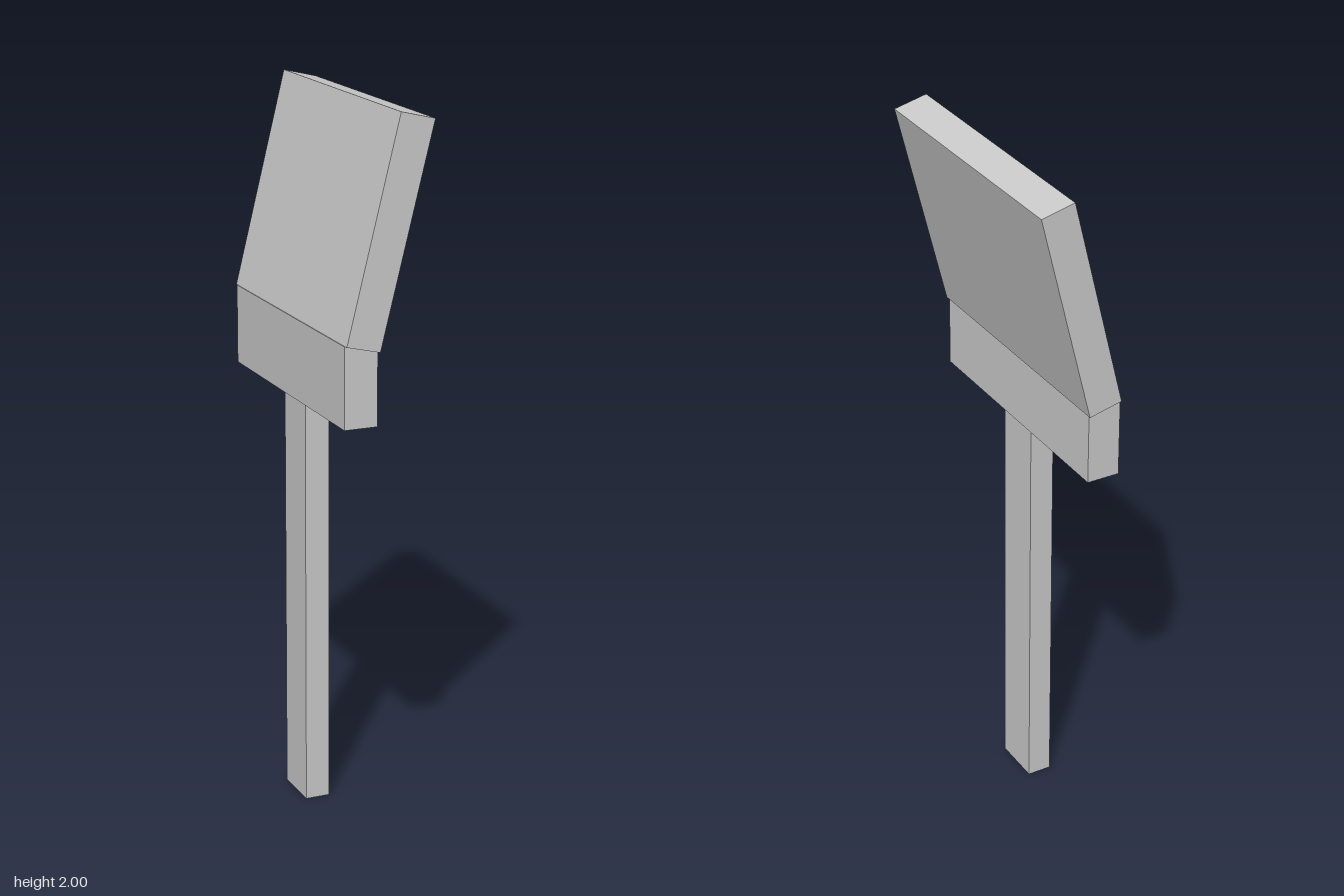
import * as THREE from 'three';

const material = new THREE.MeshStandardMaterial({ color: 0xcccccc, flatShading: true });

// Slab with a side profile in x/y, extruded symmetrically along z
function slab(name, corners, width) {
  const shape = new THREE.Shape(corners.map(([x, y]) => new THREE.Vector2(x, y)));
  const geometry = new THREE.ExtrudeGeometry(shape, { depth: width, bevelEnabled: false });
  geometry.translate(0, 0, -width / 2);
  const mesh = new THREE.Mesh(geometry, material);
  mesh.name = name;
  return mesh;
}

export function createModel() {
  const group = new THREE.Group();
  group.name = 'paddle';

  // Slim upright handle
  group.add(slab('handle', [[-0.105, 0], [-0.035, 0], [-0.035, 1.175], [-0.105, 1.175]], 0.144));

  // Collar, its top cut at the tilt of the blade
  group.add(slab('collar', [[-0.124, 1.175], [-0.03, 1.175], [-0.03, 1.378], [-0.124, 1.4]], 0.76));

  // Tilted blade, slightly wider than the collar
  group.add(slab('blade', [[-0.122, 1.4], [-0.027, 1.377], [0.123, 1.977], [0.027, 2]], 0.78));

  return group;
}
